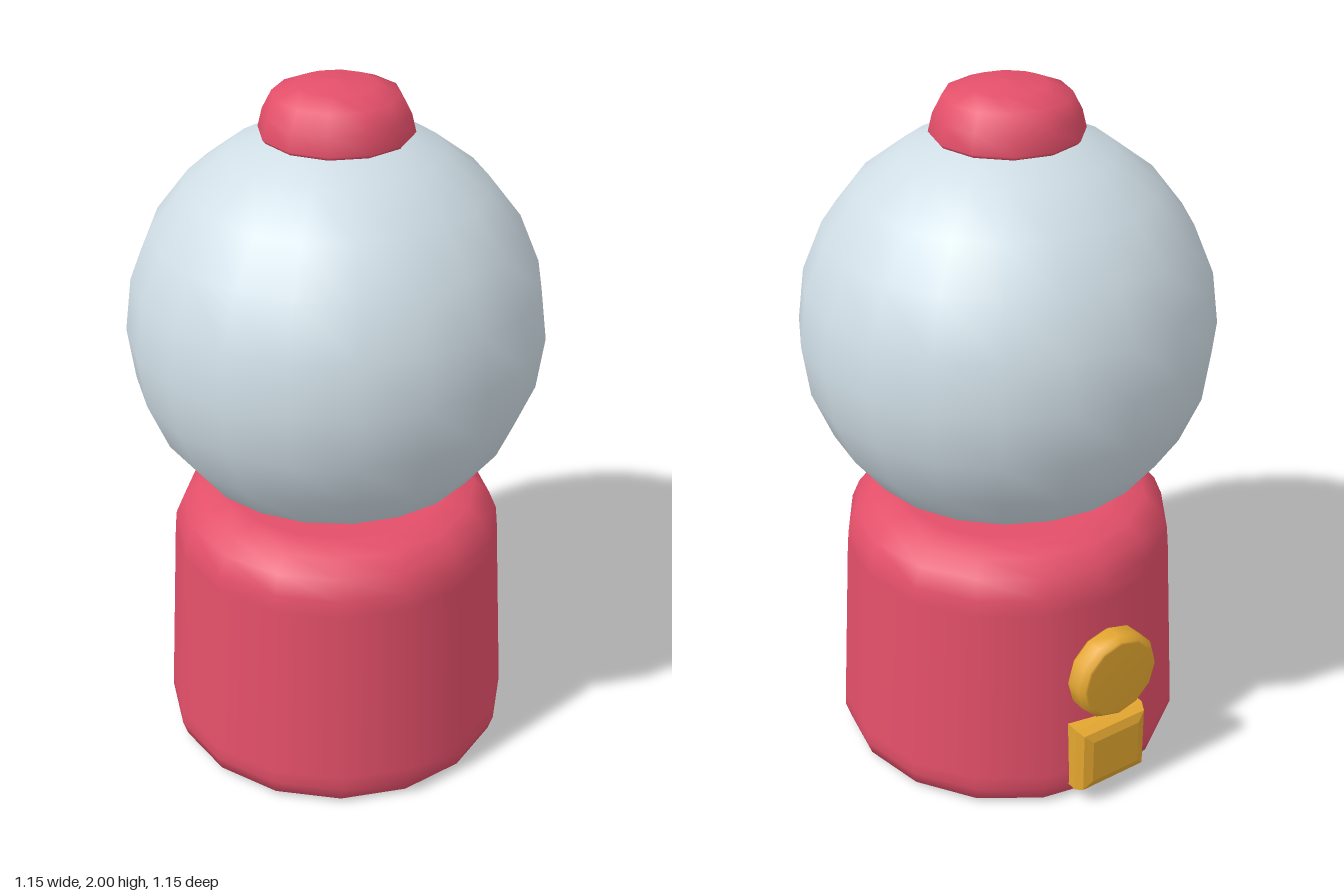
import * as THREE from 'three';

const material = (name, color, extra = {}) => {
  const m = new THREE.MeshStandardMaterial({ color, ...extra });
  m.name = name;
  return m;
};

export function createModel() {
  const red = material('red', 0xe34f69);
  const glass = material('pale glass', 0xcfdde5, { side: THREE.DoubleSide });
  const gold = material('gold', 0xe3a630);
  const blue = material('blue', 0x5aa2dc);
  const green = material('green', 0x48bf98);

  const model = new THREE.Group();
  model.name = 'gumballMachine';
  const add = (name, geometry, mat, x = 0, y = 0, z = 0) => {
    const mesh = new THREE.Mesh(geometry, mat);
    mesh.name = name;
    mesh.position.set(x, y, z);
    model.add(mesh);
    return mesh;
  };
  const lathe = (points, sides) =>
    new THREE.LatheGeometry(points.map(([r, y]) => new THREE.Vector2(r, y)), sides);

  // Tapered base with rounded rims
  add('base', lathe([
    [0, 0], [0.44, 0], [0.45, 0.001], [0.49, 0.015], [0.505, 0.06], [0.503, 0.1],
    [0.473, 0.64], [0.468, 0.69], [0.445, 0.745], [0.4, 0.785], [0.335, 0.8], [0.32, 0.8], [0, 0.8],
  ], 16), red);

  // Globe, open at the bottom
  add('globe', new THREE.SphereGeometry(0.577, 20, 9, 0, Math.PI * 2, 0, Math.PI * 0.75), glass, 0, 1.312, 0);

  // Cap
  add('cap', lathe([
    [0, 1.855], [0.2, 1.855], [0.208, 1.865], [0.196, 1.915], [0.17, 1.965], [0.105, 1.99], [0, 2],
  ], 12), red);

  // Turning knob on the back
  const knob = lathe([
    [0, 0], [0.12, 0], [0.134, 0.015], [0.134, 0.06], [0.122, 0.077], [0.115, 0.08], [0, 0.08],
  ], 12);
  knob.rotateX(-Math.PI / 2);
  add('knob', knob, gold, 0, 0.427, -0.475);

  // Chute door with chamfered edges
  const w = 0.08, h = 0.07;
  const door = new THREE.Shape([[-w, -h], [w, -h], [w, h], [-w, h]].map(([x, y]) => new THREE.Vector2(x, y)));
  add('chuteDoor', new THREE.ExtrudeGeometry(door, {
    depth: 0.04, bevelThickness: 0.035, bevelSize: 0.037, bevelSegments: 2,
  }), gold, 0, 0.158, -0.51);

  // Lowest gumballs, showing through the opening
  const ball = new THREE.SphereGeometry(0.085, 10, 8);
  [
    [green, -0.03, 0.895, 0.01], [red, -0.1, 0.905, 0.1], [blue, -0.225, 0.945, 0.02],
    [gold, 0.23, 0.945, 0.02], [green, -0.13, 0.985, 0.26], [blue, 0, 0.985, -0.18],
    [gold, 0.1, 1.0, 0.13], [blue, -0.17, 1.0, -0.16], [green, -0.33, 1.04, -0.05],
  ].forEach(([mat, x, y, z]) => add('gumball', ball, mat, x, y, z));

  // Rest of the pile in two layers
  const colours = [red, gold, blue, green];
  for (const [count, r, y] of [[13, 0.36, 1.1], [7, 0.19, 1.12]]) {
    for (let i = 0; i < count; i++) {
      const a = (i / count) * Math.PI * 2;
      add('gumball', ball, colours[(i * 3 + count) % 4], r * Math.cos(a), y + 0.03 * (i % 2), r * Math.sin(a));
    }
  }
  return model;
}
